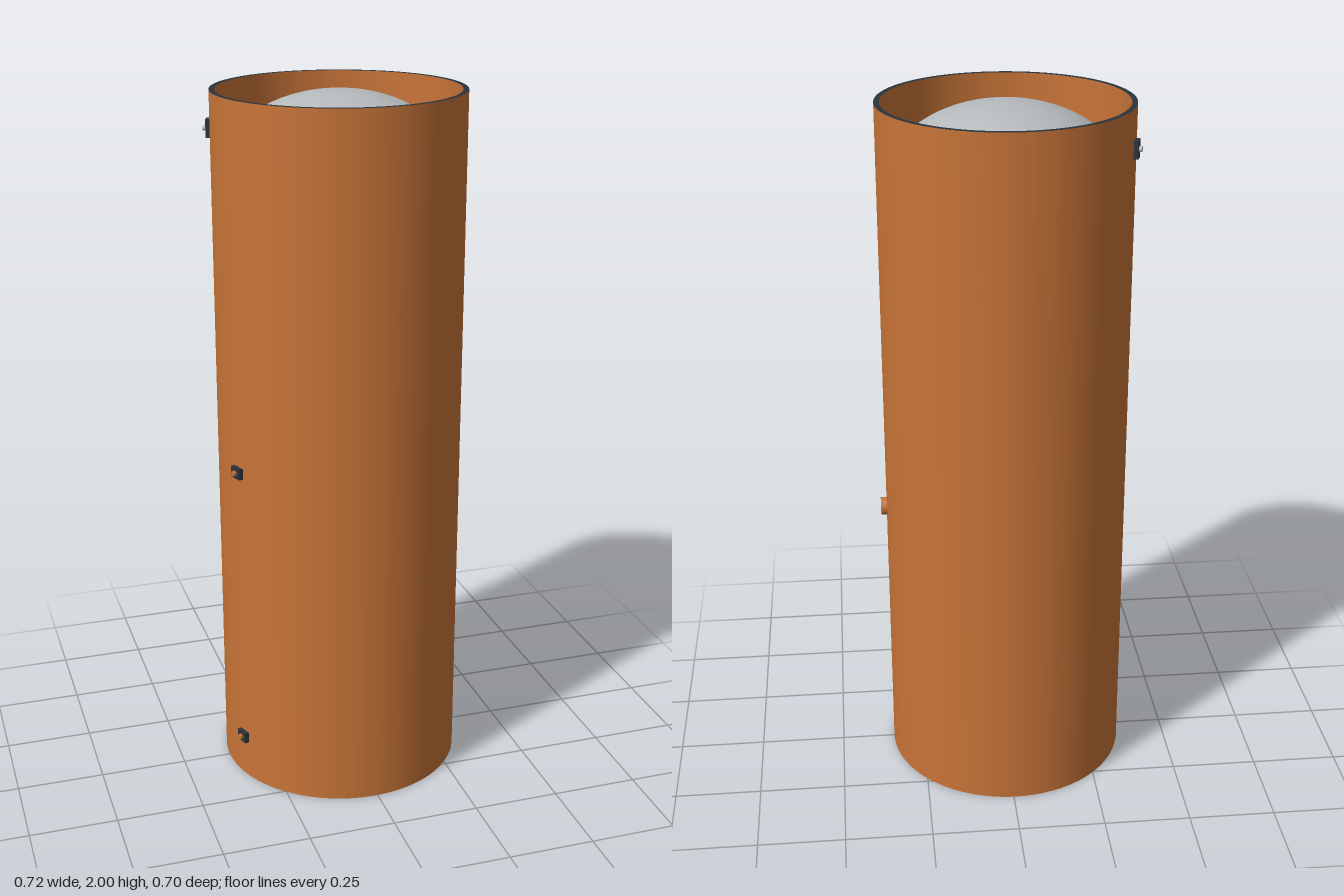
import * as THREE from 'three';

const R = 0.35, RI = 0.335, SEG = 96;
const mat = (name, color) => {
  const m = new THREE.MeshStandardMaterial({ color });
  m.name = name;
  return m;
};

export function createModel() {
  const orange = mat('insulation orange', 0xc87438);
  const dark = mat('dark edge', 0x2b343b);
  const grey = mat('dome grey', 0xb6babd);
  const root = new THREE.Group();
  root.name = 'tankStage';
  const body = new THREE.Group();
  body.name = 'body';
  body.position.x = -0.0085;
  root.add(body);

  const add = (name, geo, material, parent = body, x = 0, y = 0, z = 0) => {
    const m = new THREE.Mesh(geo, material);
    m.name = name;
    m.position.set(x, y, z);
    parent.add(m);
    return m;
  };
  const tube = (name, pts, r, material) => {
    const path = new THREE.CurvePath();
    const v = pts.map(p => new THREE.Vector3(...p));
    for (let i = 1; i < v.length; i++) path.add(new THREE.LineCurve3(v[i - 1], v[i]));
    return add(name, new THREE.TubeGeometry(path, 64, r, 8), material);
  };
  const wall = (r, y0, y1) =>
    new THREE.LatheGeometry([new THREE.Vector2(r, y0), new THREE.Vector2(r, y1)], SEG);

  // Outer skin in stacked sections, and the inner wall facing inward
  const seams = [0, 0.395, 0.79, 0.865, 1.19, 1.585, 2];
  for (let i = 1; i < seams.length; i++) add('skinSection' + i, wall(R, seams[i - 1], seams[i]), orange);
  add('innerWall', wall(RI, 2, 0), orange);

  // Dark cut edges at both ends
  for (const [name, y, s] of [['topRim', 2, -1], ['bottomRim', 0, 1]]) {
    add(name, new THREE.RingGeometry(RI, R, SEG), dark, body, 0, y).rotation.x = s * Math.PI / 2;
  }

  // Elliptical tank domes bulging toward each open end
  const dome = new THREE.SphereGeometry(RI, 64, 24, 0, Math.PI * 2, 0, Math.PI / 2);
  dome.scale(1, 0.23 / RI, 1);
  add('upperDome', dome, grey, body, 0, 1.765);
  add('lowerDome', dome, grey, body, 0, 0.245).rotation.x = Math.PI;

  // Line along the inner wall, turning into the upper dome
  tube('wallLine', [[-0.331, 0.002, 0], [-0.331, 1.915, 0]], 0.004, orange);
  tube('domeLine', [[-0.335, 1.915, 0], [-0.252, 1.915, 0]], 0.004, orange);
  add('domeLineEnd', new THREE.SphereGeometry(0.005, 12, 8), orange, body, -0.252, 1.915);

  // Round port on the left side
  add('sidePort', new THREE.CylinderGeometry(0.026, 0.026, 0.02, 32), orange, body, 0.3565, 0.81)
    .rotation.z = Math.PI / 2;

  // Small fittings on the right side: plate with a protruding block
  const fitting = (name, side, y, w, h, tip) => {
    const g = new THREE.Group();
    g.name = name;
    g.rotation.y = -(Math.PI - side * 0.34);
    g.position.y = y;
    body.add(g);
    add('plate', new THREE.BoxGeometry(0.014, h, w), dark, g, 0.355);
    add('tip', new THREE.CylinderGeometry(0.008, 0.008, 0.012, 12), tip, g, 0.364).rotation.z = Math.PI / 2;
  };
  fitting('lowerFitting', 1, 0.13, 0.04, 0.032, orange);
  fitting('middleFitting', 1, 0.97, 0.04, 0.032, orange);
  fitting('upperFitting', -1, 1.89, 0.03, 0.05, grey);

  // Plumbing beneath the lower dome
  for (const s of [-1, 1]) {
    tube('feedPipe', [[-0.12, 0.03, s * 0.012], [-0.06, 0.012, s * 0.022], [0, 0.012, s * 0.008],
      [0.05, 0.012, s * 0.022], [0.1, 0.026, s * 0.012]], 0.006, orange);
    tube('strut', [[0, 0.012, 0], [0, 0.038, s * 0.155]], 0.005, grey);
    add('strutFoot', new THREE.SphereGeometry(0.009, 12, 8), grey, body, 0, 0.038, s * 0.155);
  }
  add('hub', new THREE.CylinderGeometry(0.02, 0.02, 0.02, 20), grey, body, 0, 0.015);
  add('canister', new THREE.CylinderGeometry(0.016, 0.016, 0.045, 20), grey, body, -0.087, 0.032, -0.1);
  return root;
}
